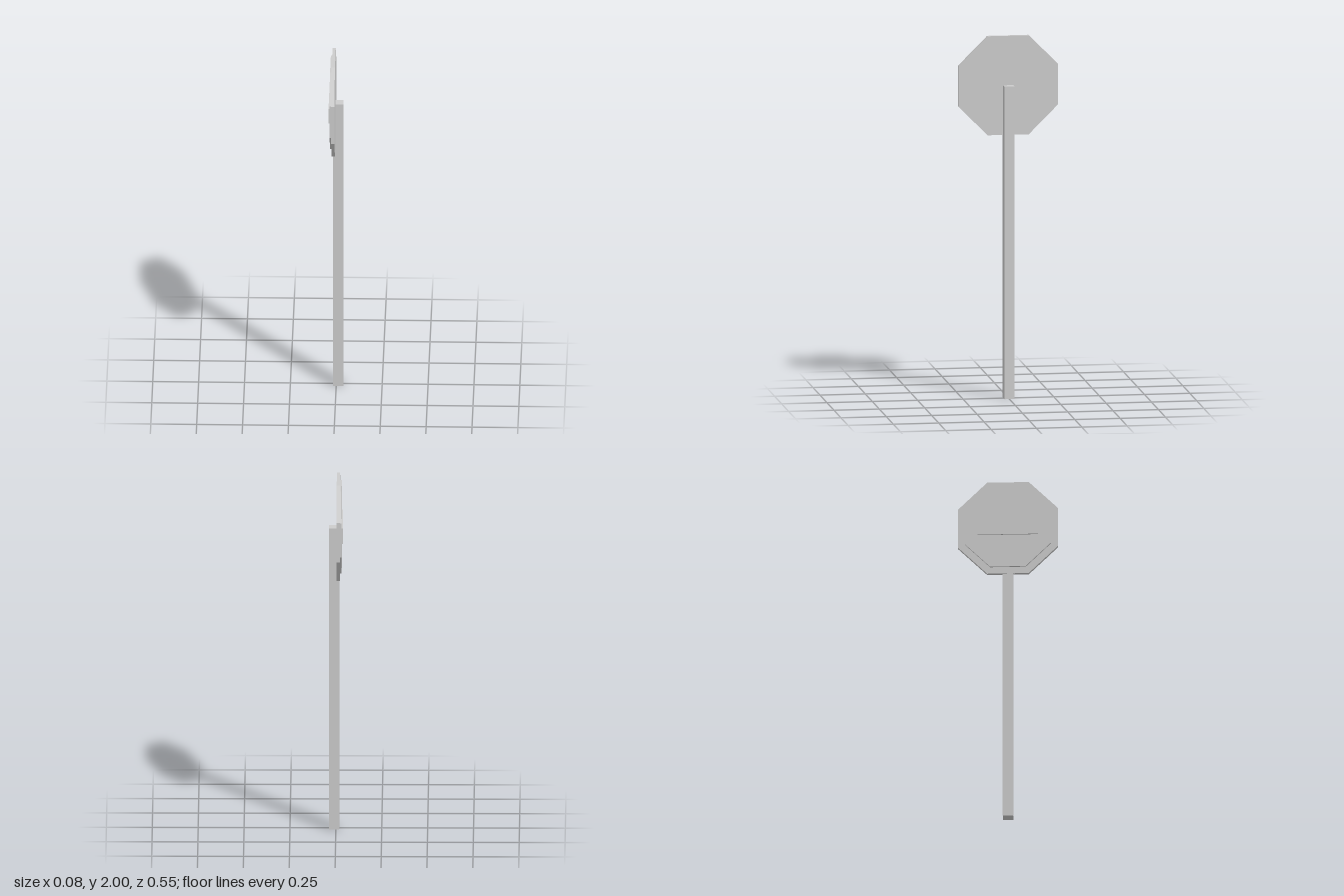
import * as THREE from 'three';

export function createModel() {
  const group = new THREE.Group();
  const grey = new THREE.MeshStandardMaterial({ color: 0xcccccc, flatShading: true });
  grey.name = 'light grey';
  const signY = 1.7265; // height of the sign's centre

  function add(name, geometry, x, y) {
    const mesh = new THREE.Mesh(geometry, grey);
    mesh.name = name;
    mesh.position.set(x, y, 0);
    group.add(mesh);
  }

  // Regular octagon lying across the x axis, with a flat side on top
  function octagon(halfWidth, thickness) {
    const radius = halfWidth / Math.cos(Math.PI / 8);
    return new THREE.CylinderGeometry(radius, radius, thickness, 8, 1, false, Math.PI / 8)
      .rotateZ(Math.PI / 2);
  }

  // Square post, let into the back of the sign
  add('post', new THREE.BoxGeometry(0.057, 1.727, 0.057), 0.01, 0.8635);

  // Stacked sign plates, stepping out towards -x
  add('signPlate', octagon(0.2735, 0.018), -0.014, signY);
  add('signFace', octagon(0.235, 0.009), -0.0275, signY);
  add('signBar', new THREE.BoxGeometry(0.007, 0.09, 0.33), -0.0355, signY);

  return group;
}
